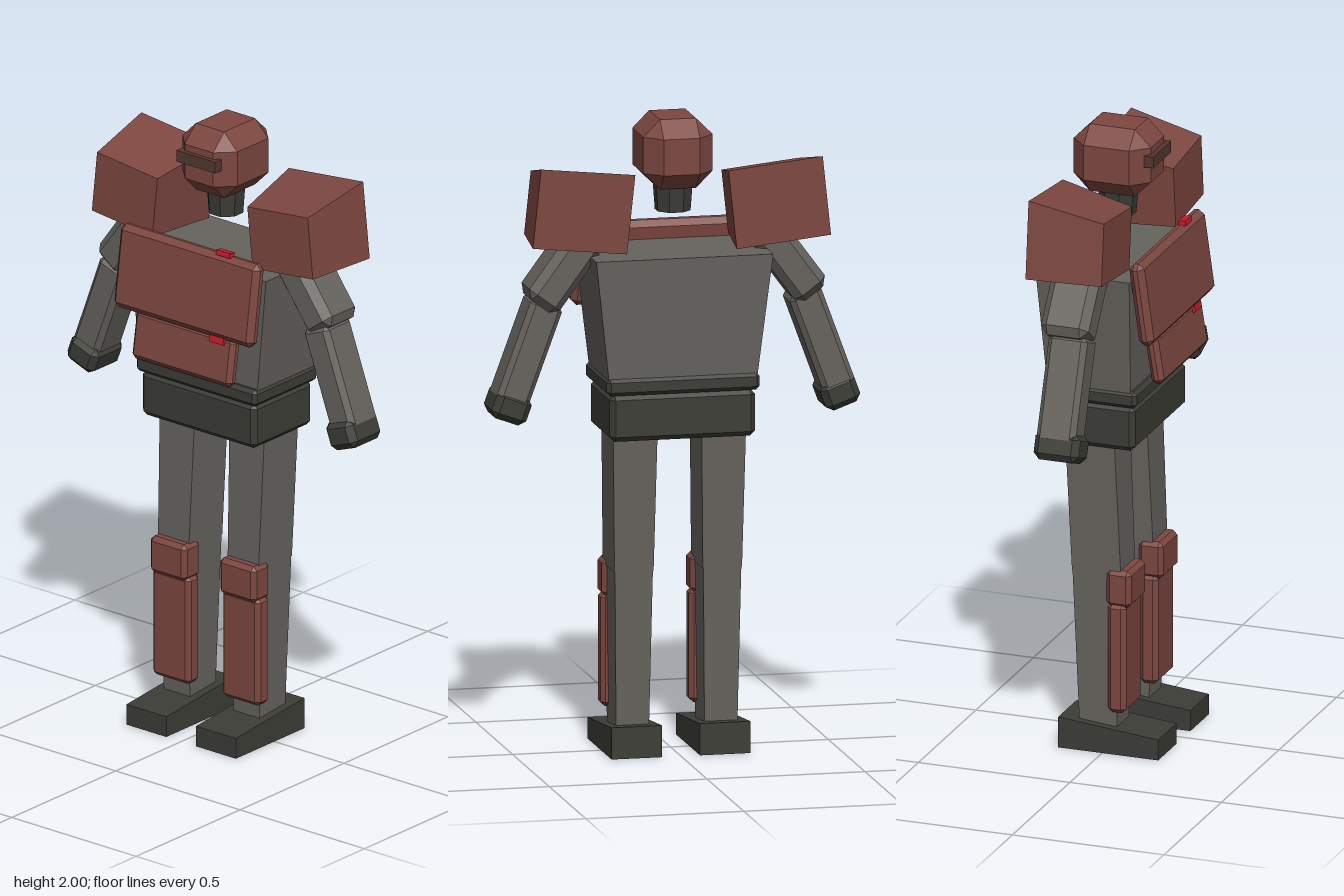
import * as THREE from 'three';
import { ConvexGeometry } from 'three/addons/geometries/ConvexGeometry.js';

const paint = (name, color) => {
  const m = new THREE.MeshStandardMaterial({ color });
  m.name = name;
  return m;
};

// Box with flat chamfered edges, centred on the origin
function chamferBox(w, h, d, c) {
  const pts = [];
  const [x, y, z] = [w / 2, h / 2, d / 2];
  for (const i of [-1, 1]) for (const j of [-1, 1]) for (const k of [-1, 1]) {
    pts.push(
      new THREE.Vector3(i * x, j * (y - c), k * (z - c)),
      new THREE.Vector3(i * (x - c), j * y, k * (z - c)),
      new THREE.Vector3(i * (x - c), j * (y - c), k * z));
  }
  return new ConvexGeometry(pts);
}

// Tapered block between two level rectangles: [y, x0, x1, z0, z1]
function taper(...levels) {
  const pts = [];
  for (const [y, x0, x1, z0, z1] of levels)
    for (const x of [x0, x1]) for (const z of [z0, z1]) pts.push(new THREE.Vector3(x, y, z));
  return new ConvexGeometry(pts);
}

export function createModel() {
  const model = new THREE.Group();
  model.name = 'robot';
  const armour = paint('armour red', 0x7d4740);
  const frame = paint('frame grey', 0x66635e);
  const dark = paint('dark olive', 0x3c3d36);
  const signal = paint('signal red', 0xc81c2c);
  const glass = paint('visor brown', 0x553731);

  const add = (name, geo, mat, pos = [0, 0, 0], rot = [0, 0, 0], parent = model) => {
    const m = new THREE.Mesh(geo, mat);
    m.name = name;
    m.position.set(...pos);
    m.rotation.set(...rot);
    parent.add(m);
    return m;
  };

  // Head and neck
  add('head', chamferBox(0.22, 0.22, 0.255, 0.053), armour, [0, 1.89, -0.028]);
  add('visor', new THREE.BoxGeometry(0.156, 0.037, 0.03), glass, [0, 1.907, 0.1]);
  const neck = new THREE.CylinderGeometry(0.062, 0.056, 0.08, 8).toNonIndexed();
  neck.rotateY(Math.PI / 8);
  neck.computeVertexNormals();
  add('neck', neck, dark, [0, 1.74, -0.03]);

  // Torso, belt and hips
  add('torso', taper([1.58, -0.28, 0.28, -0.197, 0.112], [1.195, -0.235, 0.235, -0.175, 0.1]), frame);
  add('belt', chamferBox(0.485, 0.055, 0.305, 0.012), dark, [0, 1.178, -0.033]);
  add('hips', chamferBox(0.46, 0.148, 0.285, 0.016), dark, [0, 1.078, -0.034]);

  // Leaning chest plates with signal tags
  add('chestPlate', chamferBox(0.56, 0.268, 0.05, 0.018), armour, [0, 1.507, 0.147], [-0.14, 0, 0]);
  add('bellyPlate', chamferBox(0.4, 0.155, 0.042, 0.014), armour, [0, 1.302, 0.162], [-0.16, 0, 0]);
  add('chestTag', new THREE.BoxGeometry(0.055, 0.016, 0.024), signal, [0.138, 1.645, 0.138], [-0.14, 0, 0]);
  add('bellyTag', new THREE.BoxGeometry(0.055, 0.022, 0.03), signal, [0.138, 1.368, 0.166], [-0.16, 0, 0]);

  for (const s of [1, -1]) {
    const side = s > 0 ? 'left' : 'right';

    // Shoulder pad: larger at the back, tilted outward
    const pad = [];
    for (const [half, h, z] of [[0.15, 0.25, -0.157], [0.122, 0.2, 0.083]])
      for (const x of [-half, half]) for (const y of [0, h]) pad.push(new THREE.Vector3(x, y, z));
    add(side + 'ShoulderPad', new ConvexGeometry(pad), armour, [s * 0.323, 1.608, 0], [0, 0, s * 0.105]);

    // Arm
    const arm = new THREE.Group();
    arm.name = side + 'Arm';
    model.add(arm);
    add('upperArm', chamferBox(0.12, 0.26, 0.158, 0.025), frame, [s * 0.357, 1.532, -0.037], [0, 0, s * 0.635], arm);
    add('forearm', chamferBox(0.106, 0.34, 0.128, 0.016), frame, [s * 0.464, 1.275, -0.026], [0, 0, s * 0.352], arm);
    add('hand', chamferBox(0.116, 0.092, 0.148, 0.02), dark, [s * 0.52, 1.108, -0.021], [0, 0, s * 0.352], arm);

    // Leg
    const leg = new THREE.Group();
    leg.name = side + 'Leg';
    model.add(leg);
    const c = s * 0.14;
    add('thigh', taper([1.01, c - 0.07, c + 0.07, -0.125, 0.037], [0.58, c - 0.062, c + 0.062, -0.106, 0.055]), frame, undefined, undefined, leg);
    add('shin', taper([0.58, c - 0.06, c + 0.06, -0.105, 0.053], [0.07, c - 0.052, c + 0.052, -0.085, 0.038]), frame, undefined, undefined, leg);
    add('kneeGuard', chamferBox(0.146, 0.12, 0.082, 0.014), armour, [c, 0.54, 0.048], undefined, leg);
    add('shinGuard', chamferBox(0.152, 0.358, 0.06, 0.014), armour, [c, 0.312, 0.043], undefined, leg);

    // Wedge foot, lower at the toe
    const foot = [];
    for (const x of [c - 0.08, c + 0.08])
      for (const [y, z] of [[0, -0.145], [0.1, -0.145], [0, 0.185], [0.067, 0.185]]) foot.push(new THREE.Vector3(x, y, z));
    add('foot', new ConvexGeometry(foot), dark, undefined, undefined, leg);
  }
  return model;
}
